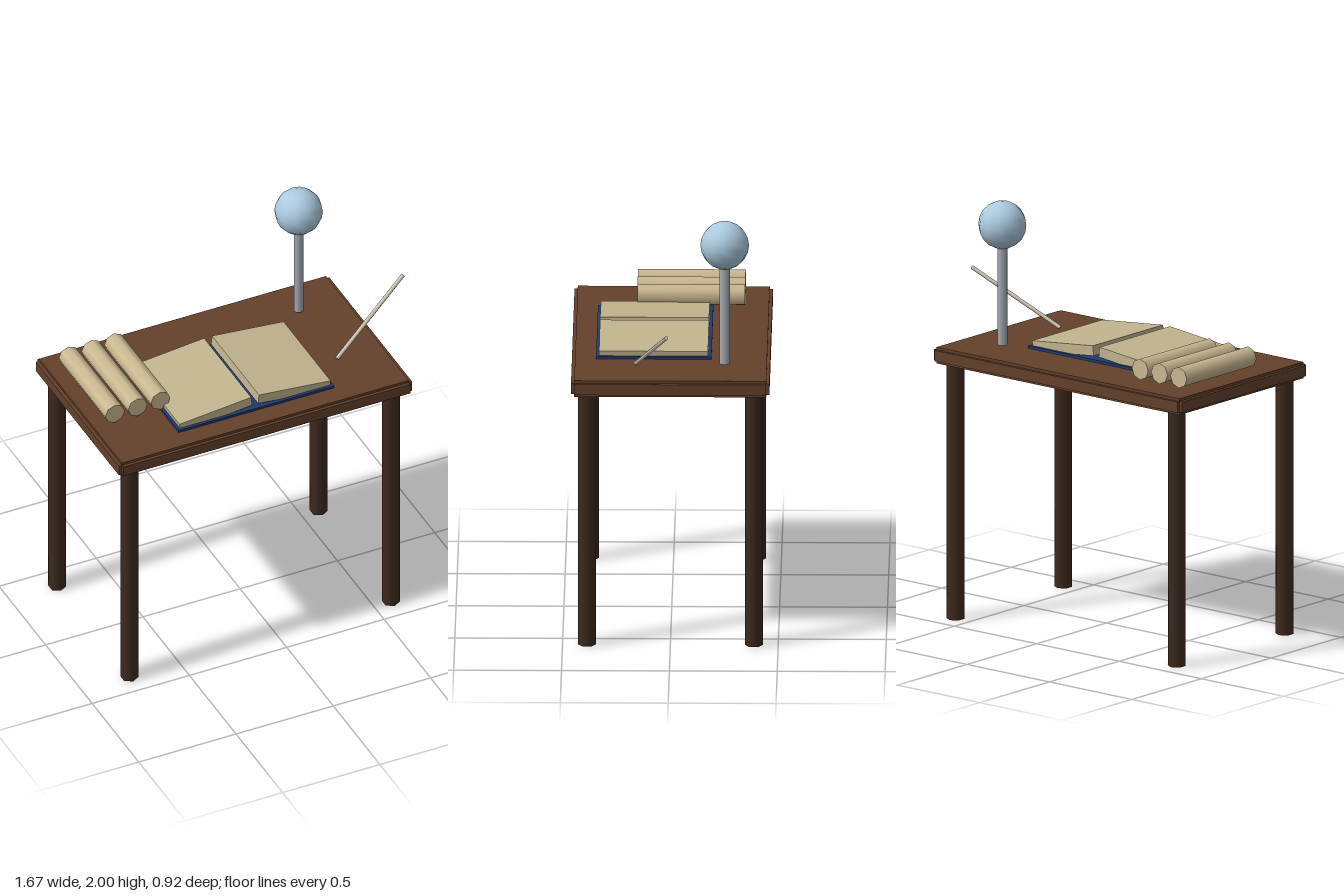
import * as THREE from 'three';

export function createModel() {
  const root = new THREE.Group();
  const mat = (name, color) => {
    const m = new THREE.MeshStandardMaterial({ color });
    m.name = name;
    return m;
  };
  const wood = mat('table wood', 0x64402b);
  const darkWood = mat('leg wood', 0x3e2a1e);
  const navy = mat('cover blue', 0x1f3a70);
  const paper = mat('page paper', 0xc2b48e);
  const parchment = mat('scroll parchment', 0xcbb992);
  const steel = mat('stand grey', 0xa4abb3);
  const glass = mat('orb blue', 0xabcbe0);
  const ivory = mat('stick ivory', 0xd6cdbb);

  const add = (name, geometry, material, x, y, z) => {
    const mesh = new THREE.Mesh(geometry, material);
    mesh.name = name;
    mesh.position.set(x, y, z);
    root.add(mesh);
    return mesh;
  };
  const box = (name, material, w, h, d, x, y, z) =>
    add(name, new THREE.BoxGeometry(w, h, d), material, x, y, z);

  // Table: slab, edge trims and hexagonal legs
  const cx = -0.083;
  box('tableTop', wood, 1.475, 0.078, 0.89, cx, 1.261, 0);
  for (const s of [-1, 1]) {
    box('longEdgeTrim', wood, 1.475, 0.052, 0.03, cx, 1.261, s * 0.445);
    box('shortEdgeTrim', wood, 0.03, 0.052, 0.89, cx + s * 0.739, 1.261, 0);
    for (const t of [-1, 1]) {
      add('leg', new THREE.CylinderGeometry(0.042, 0.042, 1.222, 6), darkWood,
        cx + s * 0.672, 0.611, t * 0.387);
    }
  }

  // Open book: flat cover with two page blocks sloping down from the spine
  box('bookCover', navy, 0.8, 0.012, 0.535, cx, 1.306, 0.08);
  for (const s of [-1, 1]) {
    const pages = box('pages', paper, 0.37, 0.048, 0.505, cx + s * 0.202, 1.33, 0.081);
    pages.rotation.z = -s * 0.1;
  }

  // Row of scrolls
  for (let i = 0; i < 3; i++) {
    const scroll = add('scroll', new THREE.CylinderGeometry(0.05, 0.05, 0.5, 8), parchment,
      -0.722 + i * 0.117, 1.363, -0.085);
    scroll.rotation.x = Math.PI / 2;
  }

  // Orb on a stand
  add('orbStand', new THREE.CylinderGeometry(0.0235, 0.0235, 0.49, 8), steel, 0.42, 1.558, -0.25);
  add('orb', new THREE.SphereGeometry(0.113, 12, 10), glass, 0.42, 1.887, -0.25);

  // Thin stick leaning up from the table
  const a = new THREE.Vector3(0.419, 1.312, 0.164);
  const b = new THREE.Vector3(0.83, 1.563, 0.016);
  const dir = b.clone().sub(a);
  const mid = a.clone().add(b).multiplyScalar(0.5);
  const stick = add('stick', new THREE.CylinderGeometry(0.0095, 0.0095, dir.length(), 6), ivory,
    mid.x, mid.y, mid.z);
  stick.quaternion.setFromUnitVectors(new THREE.Vector3(0, 1, 0), dir.normalize());

  return root;
}
